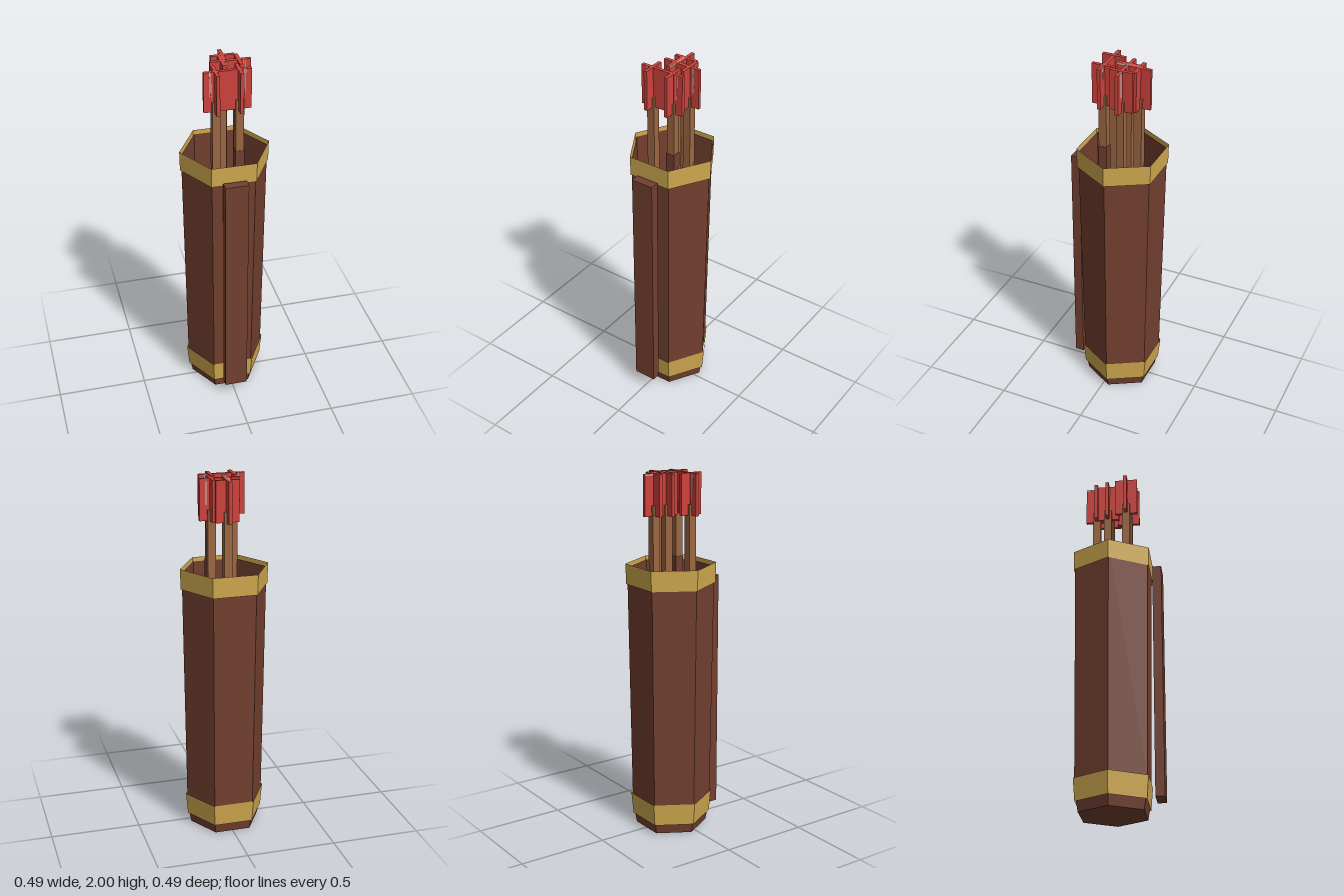
import * as THREE from 'three';

const CENTER_Z = -0.033;

function material(name, color, extra = {}) {
  const m = new THREE.MeshStandardMaterial({ color, flatShading: true, ...extra });
  m.name = name;
  return m;
}

export function createModel() {
  const leather = material('brown leather', 0x734030, { side: THREE.DoubleSide });
  const gold = material('gold', 0xd0a94f, { side: THREE.DoubleSide });
  const wood = material('shaft wood', 0x9c6742);
  const red = material('red feather', 0xcf423c);
  const pale = material('pale feather', 0xcfc8be);

  const model = new THREE.Group();
  model.name = 'arrowQuiver';

  // Open six-sided shell, given as [radius, height] pairs
  function hexShell(name, profile, mat) {
    const points = profile.map(([r, y]) => new THREE.Vector2(r, y));
    const mesh = new THREE.Mesh(new THREE.LatheGeometry(points, 6, Math.PI / 6), mat);
    mesh.name = name;
    mesh.position.z = CENTER_Z;
    model.add(mesh);
  }

  // Box given by its centre in x and z, and its bottom and top heights
  function box(parent, name, w, d, x, z, y0, y1, mat) {
    const mesh = new THREE.Mesh(new THREE.BoxGeometry(w, y1 - y0, d), mat);
    mesh.name = name;
    mesh.position.set(x, (y0 + y1) / 2, z);
    parent.add(mesh);
  }

  // Hollow case with its bands
  hexShell('quiverBody', [[0, 0], [0.198, 0], [0.209, 0.06], [0.22, 0.18], [0.237, 1.49]], leather);
  hexShell('lowerBand', [[0.217, 0.055], [0.228, 0.18]], gold);
  hexShell('upperBand', [[0.244, 1.4], [0.246, 1.512]], gold);

  // Strap standing off the front
  box(model, 'strap', 0.127, 0.05, 0, 0.218, 0.08, 1.423, leather);

  // Arrows: square shaft and crossed feathers; stripe is the side with pale marks
  const arrows = [
    { x: -0.067, z: 0.047, stripe: -1 },
    { x: 0.058, z: 0.047, stripe: 1 },
    { x: 0.083, z: -0.063, stripe: 1 },
    { x: -0.007, z: -0.066, stripe: 0 },
    { x: 0.013, z: -0.132, stripe: 0 },
  ];
  arrows.forEach(({ x, z, stripe }, i) => {
    const arrow = new THREE.Group();
    arrow.name = 'arrow' + (i + 1);
    arrow.position.set(x, 0, z);
    box(arrow, 'shaft', 0.044, 0.044, 0, 0, 0.01, 1.833, wood);
    box(arrow, 'featherAcross', 0.128, 0.019, 0, 0, 1.775, 1.999, red);
    box(arrow, 'featherDeep', 0.019, 0.128, 0, 0, 1.775, 2, red);
    if (stripe) {
      for (const offset of [0.025, 0.032]) {
        box(arrow, 'paleMark', 0.003, 0.0196, stripe * offset, 0, 1.86, 2, pale);
      }
    }
    model.add(arrow);
  });

  // Dark sleeve low on one shaft
  box(model, 'shaftSleeve', 0.05, 0.048, 0.058, 0.047, 1.3, 1.535, leather);

  // Pale edge between the two closest feathers
  box(model, 'paleEdge', 0.005, 0.196, 0.0055, -0.098, 1.992, 2, pale);

  return model;
}
